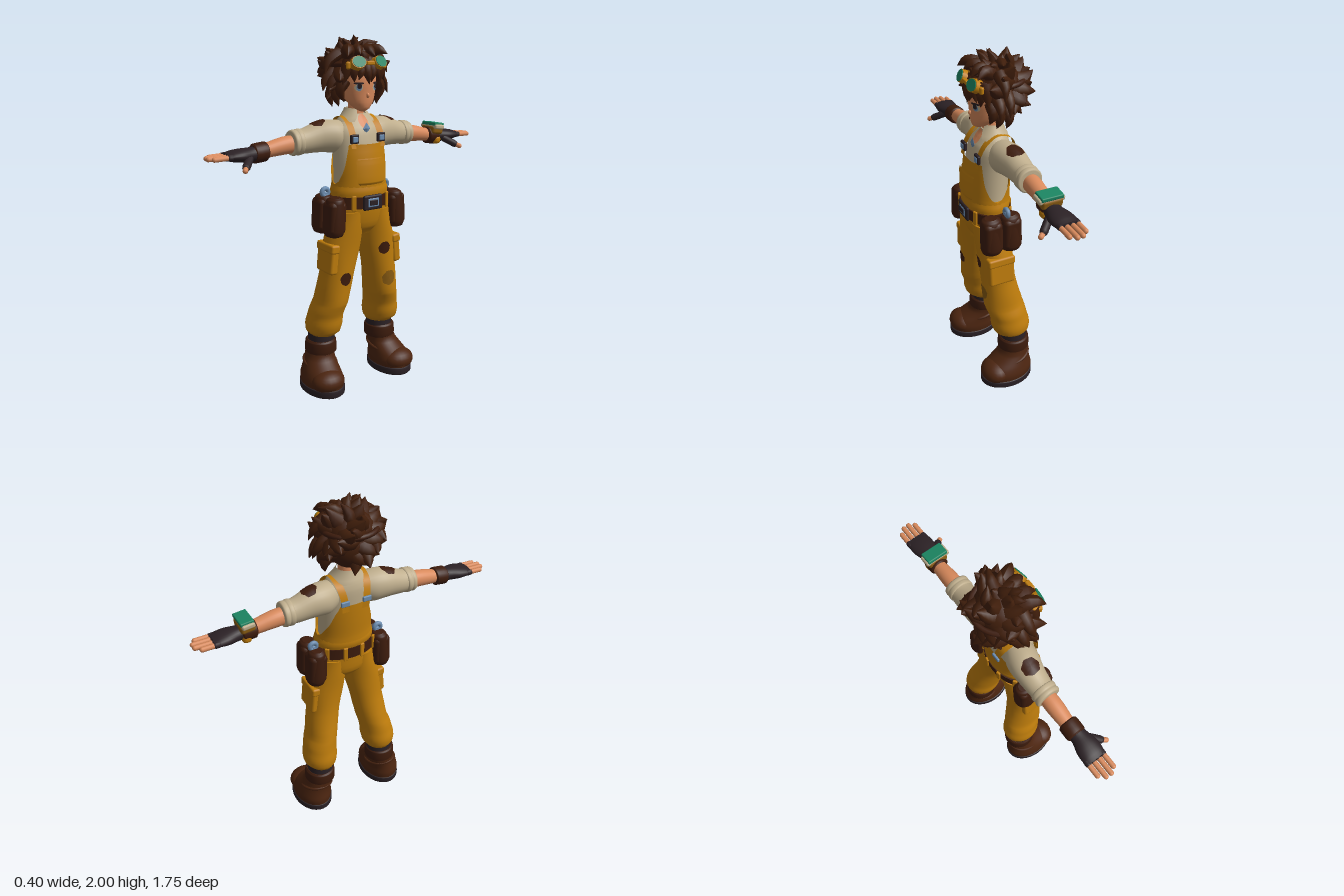
import * as THREE from 'three';
import { RoundedBoxGeometry } from 'three/addons/geometries/RoundedBoxGeometry.js';

const paint = (name, color) => {
  const m = new THREE.MeshStandardMaterial({ color, side: THREE.DoubleSide });
  m.name = name;
  return m;
};

export function createModel() {
  const mustard = paint('mustard', 0xbf7d0c), linen = paint('linen', 0xbfae8d), skin = paint('skin', 0xd98a5c);
  const hairBrown = paint('hairBrown', 0x401e0b), leather = paint('leather', 0x3d1c0d), boot = paint('bootBrown', 0x4c2510);
  const dark = paint('charcoal', 0x2b2125), green = paint('lensGreen', 0x1c8562), steel = paint('steelBlue', 0x6c8db0);
  const patch = paint('patchOchre', 0x8a5c12);

  // The figure is built facing +z, then turned to face +x.
  const body = new THREE.Group();
  body.name = 'figure';
  const V = (x, y, z) => new THREE.Vector3(x, y, z);
  const add = (name, geo, mat, x = 0, y = 0, z = 0) => {
    const m = new THREE.Mesh(geo, mat);
    m.name = name;
    m.position.set(x, y, z);
    body.add(m);
    return m;
  };
  const box = (name, w, h, d, mat, x, y, z, r = 0.01) => add(name, new RoundedBoxGeometry(w, h, d, 2, r), mat, x, y, z);
  const ball = (name, rx, ry, rz, mat, x, y, z) => add(name, new THREE.SphereGeometry(1, 20, 14).scale(rx, ry, rz), mat, x, y, z);

  // Smooth loft of elliptical rings. Axis y: [y, cx, cz, rx, rz]; axis x: [x, cz, cy, rz, ry].
  // An optional sixth number is the half angle of an open panel centred on angle mid.
  function loft(rows, axis = 'y', mid = Math.PI / 2, n = 28, sub = 3) {
    if (rows[0][0] > rows[rows.length - 1][0]) rows = [...rows].reverse();
    const open = rows[0].length > 5, rings = [], at = i => rows[Math.max(0, Math.min(rows.length - 1, i))];
    for (let i = 0; i < rows.length - 1; i++)
      for (let s = 0; s < sub; s++) {
        const t = s / sub;
        rings.push(rows[i].map((v, k) => {
          const a = at(i - 1)[k], w = at(i + 1)[k], d = at(i + 2)[k];
          if (k === 0) return v + (w - v) * t;
          return v + 0.5 * t * (w - a + t * (2 * a - 5 * v + 4 * w - d + t * (3 * (v - w) + d - a)));
        }));
      }
    rings.push(at(rows.length));
    const pos = [], idx = [], cols = open ? n + 1 : n;
    const put = (h, u, v) => (axis === 'y' ? pos.push(u, h, v) : pos.push(h, v, u));
    const ring = ([h, c1, c2, a, b, half = Math.PI]) => {
      for (let i = 0; i < cols; i++) {
        const t = mid - half + (2 * half * i) / n;
        put(h, c1 + a * Math.cos(t), c2 + b * Math.sin(t));
      }
    };
    rings.forEach(ring);
    for (let j = 0; j < rings.length - 1; j++)
      for (let i = 0; i < n; i++) {
        const k = (i + 1) % cols, a = j * cols + i, b = j * cols + k;
        idx.push(a, a + cols, b, b, a + cols, b + cols);
      }
    if (!open) [rings[0], rings[rings.length - 1]].forEach((r, end) => {
      const base = pos.length / 3;
      ring(r);
      put(r[0], r[1], r[2]);
      for (let i = 0; i < n; i++) {
        const a = base + i, b = base + (i + 1) % n;
        end ? idx.push(base + n, b, a) : idx.push(base + n, a, b);
      }
    });
    const g = new THREE.BufferGeometry();
    g.setAttribute('position', new THREE.Float32BufferAttribute(pos, 3));
    g.setIndex(idx);
    g.computeVertexNormals();
    return g;
  }

  // Thin spot laid onto a surface, from the front or from above.
  const ray = new THREE.Raycaster();
  function spot(name, target, mat, u, v, ru, rv, { top = false, jag = 0, lift = 0.004 } = {}) {
    const g = new THREE.RingGeometry(0.001, 1, 28, 3), p = g.attributes.position;
    let last = null;
    for (let i = 0; i < p.count; i++) {
      const f = 1 + jag * Math.sin(7 * Math.atan2(p.getY(i), p.getX(i)));
      const x = u + p.getX(i) * ru * f, y = v + (top ? -1 : 1) * p.getY(i) * rv * f;
      ray.set(top ? V(x, 3, y) : V(x, y, 2), top ? V(0, -1, 0) : V(0, 0, -1));
      const hit = ray.intersectObject(target)[0];
      if (hit) last = top ? hit.point.y : hit.point.z;
      top ? p.setXYZ(i, x, last + lift, y) : p.setXYZ(i, x, y, last + lift);
    }
    g.computeVertexNormals();
    add(name, g, mat);
  }

  // Tapering curved lock along a bent path.
  function lock(name, pts, r, flat = 8) {
    const c = new THREE.CatmullRomCurve3(pts), g = new THREE.TubeGeometry(c, 7, r, flat), p = g.attributes.position, q = V();
    for (let i = 0; i < p.count; i++) {
      const t = Math.floor(i / (flat + 1)) / 7, o = c.getPointAt(t);
      q.fromBufferAttribute(p, i).sub(o).multiplyScalar(Math.max(.03, 1 - t * t)).add(o);
      p.setXYZ(i, q.x, q.y, q.z);
    }
    g.computeVertexNormals();
    add(name, g, hairBrown);
  }
  const capsule = (name, a, b, r, mat) => {
    const m = add(name, new THREE.CapsuleGeometry(r, a.distanceTo(b), 4, 10), mat);
    m.position.copy(a).lerp(b, 0.5);
    m.quaternion.setFromUnitVectors(V(0, 1, 0), b.clone().sub(a).normalize());
  };

  // Shirt and overalls
  const shirt = add('shirt', loft([[1.1, 0, .04, .16, .11], [1.2, 0, .04, .15, .113], [1.32, 0, .035, .15, .113], [1.42, 0, .027, .152, .108],
    [1.5, 0, .015, .155, .098], [1.55, 0, .003, .11, .075], [1.585, 0, .003, .06, .055]]), linen);
  add('hips', loft([[.92, 0, .04, .09, .07], [.97, 0, .04, .17, .105], [1.06, 0, .045, .185, .118], [1.13, 0, .045, .175, .122],
    [1.17, 0, .043, .175, .13], [1.21, 0, .042, .163, .124]]), mustard);
  const panel = (p, q, r) => [[1.19, 0, .041, .166, .127, 1.75], [1.23, 0, .041, .163, .126, 1.3], [1.3, 0, .037, .164, .126, p],
    [1.37, 0, .032, .165, .124, q], [1.43, 0, .027, .165, .12, r]];
  add('bib', loft(panel(1.02, .88, .78)), mustard);
  add('backPanel', loft(panel(.92, .7, .5), 'y', -Math.PI / 2), mustard);
  add('bibPocket', loft([[1.21, 0, .041, .17, .13, .45], [1.225, 0, .041, .175, .138, .55], [1.33, 0, .035, .175, .136, .55],
    [1.355, 0, .033, .17, .13, .5]]), mustard);
  add('bibPocketFlap', loft([[1.32, 0, .036, .177, .141, .56], [1.35, 0, .034, .177, .138, .56]]), mustard);

  // Belt, buckle and loops
  add('belt', loft([[1.08, 0, .045, .19, .13], [1.145, 0, .045, .188, .131]], 'y', 0, 36, 1), leather);
  box('buckleFrame', .125, .084, .02, dark, 0, 1.112, .173);
  box('bucklePlate', .075, .05, .02, steel, 0, 1.112, .176, .006);
  box('buckleCentre', .055, .032, .02, dark, 0, 1.112, .179, .005);
  for (const t of [.95, 2.19, -.7, -1.3, -1.85, -2.45]) {
    const loop = box('beltLoop', .026, .085, .014, mustard, .19 * Math.cos(t), 1.113, .045 + .133 * Math.sin(t), .005);
    loop.rotation.y = Math.atan2(Math.cos(t) * .13, Math.sin(t) * .19);
  }

  // Neck, collar and pendant
  add('neck', new THREE.CylinderGeometry(.04, .046, .13, 20), skin, 0, 1.6, .01);
  spot('openNeckline', shirt, skin, 0, 1.545, .03, .04);
  add('collar', loft([[1.545, 0, .008, .112, .09, 2.6], [1.575, 0, .005, .085, .075, 2.72], [1.615, 0, 0, .058, .056, 2.75]], 'y', -Math.PI / 2), linen);
  add('pendant', new THREE.OctahedronGeometry(1).scale(.024, .034, .01), steel, 0, 1.51, .113);

  // Head and face
  const head = add('head', loft([[1.6, 0, .07, .012, .02], [1.615, 0, .066, .04, .045], [1.65, 0, .05, .073, .07], [1.7, 0, .03, .094, .093],
    [1.77, 0, .015, .106, .112], [1.86, 0, 0, .1, .11], [1.93, 0, 0, .04, .05]]), skin);
  ball('nose', .009, .014, .012, skin, 0, 1.688, .122);

  const ribbon = (name, pts, w, mat) => {
    const pos = [], idx = [], c = new THREE.CatmullRomCurve3(pts);
    for (let i = 0; i <= 24; i++) {
      const p = c.getPoint(i / 24);
      pos.push(p.x - w / 2, p.y, p.z, p.x + w / 2, p.y, p.z);
      if (i) idx.push(2 * i - 2, 2 * i - 1, 2 * i, 2 * i - 1, 2 * i + 1, 2 * i);
    }
    const g = new THREE.BufferGeometry();
    g.setAttribute('position', new THREE.Float32BufferAttribute(pos, 3));
    g.setIndex(idx);
    g.computeVertexNormals();
    add(name, g, mat);
  };

  for (const s of [-1, 1]) {
    const side = s > 0 ? 'left' : 'right';
    const sx = rows => rows.map(([x, ...r]) => [s * x, ...r]), cx = rows => rows.map(([y, x, ...r]) => [y, s * x, ...r]);

    // Face details
    spot(side + 'EyeWhite', head, linen, s * .052, 1.73, .02, .02);
    spot(side + 'Iris', head, steel, s * .051, 1.731, .013, .019, { lift: .006 });
    spot(side + 'Pupil', head, dark, s * .051, 1.736, .0105, .014, { lift: .008 });
    spot(side + 'Lash', head, dark, s * .053, 1.752, .024, .006, { lift: .008 });
    ball(side + 'Ear', .015, .032, .022, skin, s * .106, 1.705, 0);

    // Straps with buckles
    ribbon(side + 'Strap', [V(s * .09, 1.41, .135), V(s * .092, 1.48, .115), V(s * .09, 1.54, .075), V(s * .087, 1.575, .01),
      V(s * .08, 1.545, -.07), V(s * .068, 1.48, -.1), V(s * .058, 1.4, -.102)], .042, mustard);
    box(side + 'StrapBuckle', .052, .05, .018, dark, s * .088, 1.46, .126, .006);
    box(side + 'StrapButton', .034, .032, .02, steel, s * .088, 1.458, .13, .006);
    box(side + 'BackBuckle', .05, .03, .014, steel, s * .065, 1.455, -.106, .005);

    // Sleeves and arms
    const sleeve = add(side + 'Sleeve', loft(sx([[.06, 0, 1.475, .06, .07], [.13, -.005, 1.466, .085, .09], [.19, -.015, 1.47, .084, .088],
      [.25, -.022, 1.465, .074, .08], [.32, -.025, 1.452, .066, .068], [.37, -.025, 1.45, .063, .064]]), 'x'), linen);
    add(side + 'SleeveRoll', loft(sx([[.335, -.025, 1.45, .062, .062], [.342, -.025, 1.45, .07, .07], [.36, -.025, 1.449, .07, .07],
      [.368, -.025, 1.449, .067, .067], [.378, -.025, 1.448, .07, .069], [.394, -.025, 1.447, .066, .065], [.396, -.025, 1.447, .045, .045]]), 'x'), linen);
    spot(side + 'SleevePatch', sleeve, leather, s * .235, -.02, .042, .048, { top: true, jag: .05 });
    add(side + 'Forearm', loft(sx([[.36, -.027, 1.442, .045, .048], [.45, -.027, 1.436, .046, .047], [.56, -.027, 1.42, .038, .038]]), 'x'), skin);
    add(side + 'Wristband', loft(sx([[.54, -.025, 1.418, .045, .043], [.548, -.025, 1.418, .053, .051], [.612, -.025, 1.412, .053, .051],
      [.62, -.025, 1.412, .045, .043]]), 'x'), leather);
    add(side + 'Glove', loft(sx([[.6, -.022, 1.412, .044, .04], [.64, -.02, 1.41, .048, .037], [.69, -.022, 1.41, .062, .035],
      [.735, -.025, 1.41, .063, .029], [.77, -.028, 1.409, .058, .02]]), 'x'), dark);
    [[-.073, .835], [-.043, .862], [-.012, .864], [.018, .845]].forEach(([z, end]) => {
      capsule(side + 'GloveFinger', V(s * .75, 1.41, z), V(s * .765, 1.41, z), .0165, dark);
      capsule(side + 'Finger', V(s * .77, 1.41, z), V(s * end, 1.408, z), .0135, skin);
    });
    capsule(side + 'GloveThumb', V(s * .655, 1.395, .015), V(s * .7, 1.362, .065), .021, dark);
    capsule(side + 'Thumb', V(s * .7, 1.362, .065), V(s * .718, 1.35, .09), .014, skin);

    // Trouser legs, thigh pockets
    const leg = add(side + 'TrouserLeg', loft(cx([[.322, .203, -.035, .08, .088], [.345, .205, -.028, .098, .108], [.39, .203, -.022, .104, .117],
      [.44, .197, -.014, .099, .113], [.48, .19, -.004, .098, .115], [.53, .175, .01, .094, .117], [.62, .16, .023, .098, .107], [.72, .143, .034, .1, .1],
      [.85, .122, .04, .112, .1], [.96, .1, .043, .1, .107], [1.06, .085, .045, .09, .11]])), mustard);
    const pocket = box(side + 'ThighPocket', .05, .15, .155, mustard, s * .216, .79, .047, .015);
    const flap = box(side + 'ThighPocketFlap', .056, .05, .163, mustard, s * .211, .86, .047, .012);
    pocket.rotation.z = flap.rotation.z = s * .1;
    if (s > 0) {
      spot('thighPatch', leg, leather, .113, .822, .037, .037, { jag: .03 });
      spot('kneePatch', leg, patch, .155, .63, .043, .046, { jag: .04 });
    } else spot('kneePatch', leg, leather, -.15, .682, .035, .037, { jag: .03 });

    // Belt pouches and spanners
    for (const z of [-.015, .1]) {
      add(side + 'Pouch', loft(cx([[.932, .207, z, .03, .035], [.94, .208, z, .047, .054], [.97, .208, z, .058, .063], [1.05, .204, z, .056, .062],
        [1.12, .199, z, .051, .058], [1.14, .197, z, .044, .052], [1.15, .196, z, .03, .035]])), leather);
      box(side + 'PouchBody', .105, .185, .108, leather, s * .204, 1.04, z, .028).rotation.z = s * .05;
    }
    add(side + 'SpannerRing', new THREE.TorusGeometry(.02, .013, 10, 20), steel, s * .205, 1.165, .01);
    box(side + 'SpannerShaft', .026, .08, .02, steel, s * .2, 1.125, .01, .005);

    // Boots
    add(side + 'Sock', new THREE.CylinderGeometry(.077, .08, .07, 24), dark, s * .21, .305, -.04);
    add(side + 'Sole', loft(cx([[0, .247, .022, .11, .157], [.006, .247, .022, .117, .163], [.042, .247, .022, .117, .163], [.046, .247, .022, .11, .155]]), 'y', 0, 32), dark);
    add(side + 'Boot', loft(cx([[.03, .247, .02, .11, .155], [.075, .247, .02, .113, .16], [.115, .243, .008, .104, .14],
      [.15, .235, -.015, .095, .112], [.185, .226, -.035, .087, .092], [.24, .217, -.04, .083, .085], [.285, .215, -.04, .08, .083]]), 'y', 0, 32), boot);
    ball(side + 'ToeCap', .1, .066, .085, boot, s * .255, .076, .1);
    add(side + 'BootCuff', loft(cx([[.205, .215, -.04, .083, .085], [.213, .215, -.04, .092, .095], [.275, .214, -.04, .09, .092],
      [.286, .214, -.04, .08, .082]])), leather);
    const strap = add(side + 'BootStrap', new THREE.TorusGeometry(.092, .01, 8, 28).rotateX(Math.PI / 2), boot, s * .231, .15, -.022);
    strap.scale.z = 1.1;
    strap.rotation.x = .25;

    // Goggle cups and lenses
    const cup = new THREE.Group();
    cup.name = side + 'Goggle';
    const rim = new THREE.Mesh(new THREE.CylinderGeometry(.04, .044, .045, 20).rotateX(Math.PI / 2).scale(1.05, .85, 1), mustard);
    const lens = new THREE.Mesh(new THREE.CylinderGeometry(.036, .036, .008, 20).rotateX(Math.PI / 2).scale(1.05, .85, 1), green);
    rim.name = side + 'GoggleRim';
    lens.name = side + 'Lens';
    lens.position.z = .022;
    cup.add(rim, lens);
    cup.position.set(s * .068, 1.855, .124);
    cup.rotation.set(-.45, s * .15, 0);
    body.add(cup);
    box(side + 'GoggleArm', .025, .04, .05, mustard, s * .111, 1.845, .098).rotation.y = s * .5;
  }
  box('goggleBridge', .05, .022, .024, mustard, 0, 1.857, .142, .006);
  add('goggleBand', new THREE.TorusGeometry(.142, .014, 8, 36).rotateX(Math.PI / 2), leather, 0, 1.85, -.025);

  // Wrist device on the left arm
  box('deviceClasp', .05, .05, .11, mustard, .6, 1.39, -.023, .02);
  box('deviceMount', .08, .05, .115, patch, .592, 1.45, -.02, .015).rotation.z = -.12;
  box('deviceCase', .07, .028, .142, linen, .592, 1.469, -.018).rotation.z = -.12;
  box('deviceScreen', .074, .022, .12, green, .595, 1.483, -.018, .006).rotation.z = -.12;

  // Hair: rounded mass with big swept locks
  ball('hairCrown', .138, .11, .128, hairBrown, 0, 1.835, -.02);
  ball('hairBack', .13, .12, .095, hairBrown, 0, 1.765, -.06);
  const N = 50, c = V(0, 1.805, -.025);
  for (let i = 0; i < N; i++) {
    const y = 1 - 1.75 * (i + .5) / N, q = Math.sqrt(1 - y * y), a = i * 2.39996;
    const d = V(q * Math.cos(a), y, q * Math.sin(a));
    if (d.z > .35 && y < .55 || d.z > .1 && y < -.2) continue;
    const k = ((i * 37) % 11) / 10, sway = i % 2 ? .045 : -.045;
    const p = f => c.clone().add(V(d.x * .142 * f, d.y * .135 * f, d.z * .122 * f));
    lock('hairLock', [p(.55), p(1.02).add(V(-d.z * sway, -.006, d.x * sway)),
      p(1.2 + .24 * k).add(V(-d.z * sway * 2.2, y > .15 ? .014 : -.022, d.x * sway * 2.2 - .002))], .056);
  }

  // Fringe below the goggles, tufts above them, locks beside the cheeks and crown spikes
  [-.112, -.08, -.045, -.01, .025, .06, .09, .115].forEach((x, i) => lock('fringeLock',
    [V(x * .8, 1.865, .08), V(x, 1.81, .132 - x * x * 4), V(x * 1.12 + (i % 2 ? .012 : -.012), 1.746 + .012 * (i % 3), .136 - x * x * 4)], .038));
  [-.1, -.04, .03, .09].forEach((x, i) => lock('browTuft', [V(x * .7, 1.9, .03), V(x, 1.925, .085), V(x * 1.35, 1.893 + .01 * (i % 2), .132)], .042));
  for (const s of [-1, 1]) [[.055, 1.655, .115], [.02, 1.63, .125], [-.03, 1.625, .135], [.03, 1.69, .195], [-.02, 1.71, .2], [.01, 1.8, .205]]
    .forEach(([z, y, x]) => lock('sideLock', [V(s * .105, y + .11, z), V(s * (x * .5 + .075), y + .06, z), V(s * x, y, z + .012)], .036));
  [[-.06, .03, -.1, 1.975], [0, .01, -.02, 2.0], [.05, 0, .15, 1.965], [.02, -.06, .06, 1.99], [-.03, .05, -.05, 1.985], [.06, .04, .1, 1.955]]
    .forEach(([x, z, tx, ty]) => lock('crownLock', [V(x, 1.87, z), V(x + .01, 1.94, z - .02), V(tx, ty, z + .01)], .042));

  body.rotation.y = Math.PI / 2;
  const model = new THREE.Group();
  model.name = 'mechanic';
  model.add(body);
  return model;
}
